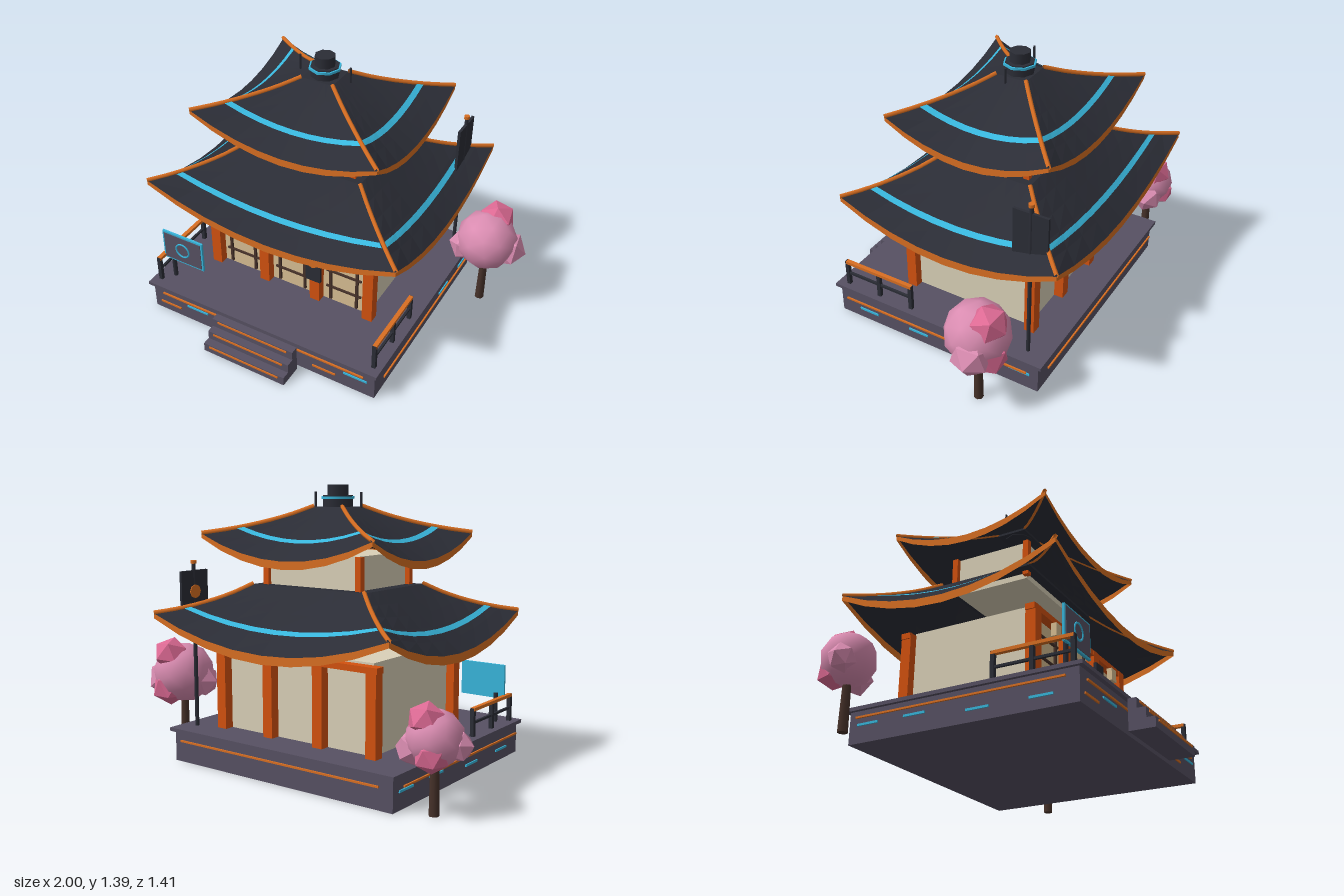
import * as THREE from 'three';

const mat = (name, color, side = THREE.FrontSide) => {
  const m = new THREE.MeshStandardMaterial({ color, side });
  m.name = name;
  return m;
};

export function createModel() {
  const roofDark = mat('charcoal', 0x2b2d36, THREE.DoubleSide);
  const stone = mat('stone', 0x575163);
  const cyan = mat('cyan', 0x38b6dc, THREE.DoubleSide);
  const trim = mat('trimOrange', 0xd96f22, THREE.DoubleSide);
  const post = mat('postOrange', 0xd4520f);
  const cream = mat('cream', 0xdad1b8);
  const tan = mat('tanPaper', 0xd9bf94);
  const wood = mat('darkWood', 0x47322a);
  const pink = mat('blossomPink', 0xdb8db2);
  const deepPink = mat('deepPink', 0xdd6a94);

  const root = new THREE.Group();
  root.name = 'pagoda';
  const group = (name, x = 0, y = 0, z = 0) => {
    const g = new THREE.Group();
    g.name = name;
    g.position.set(x, y, z);
    root.add(g);
    return g;
  };
  const add = (parent, name, geo, material, x = 0, y = 0, z = 0) => {
    const m = new THREE.Mesh(geo, material);
    m.name = name;
    m.position.set(x, y, z);
    parent.add(m);
    return m;
  };
  const box = (p, name, m, w, h, d, x, y, z) => add(p, name, new THREE.BoxGeometry(w, h, d), m, x, y, z);
  const rod = (p, name, m, r, y0, y1, x, z, n = 8) =>
    add(p, name, new THREE.CylinderGeometry(r, r, y1 - y0, n), m, x, (y0 + y1) / 2, z);

  // Faceted sheet through fn(u, v), u and v from 0 to 1
  const sheet = (fn, nu, nv) => {
    const pos = [], idx = [];
    for (let j = 0; j <= nv; j++) for (let i = 0; i <= nu; i++) pos.push(...fn(i / nu, j / nv));
    for (let j = 0; j < nv; j++) for (let i = 0; i < nu; i++) {
      const a = j * (nu + 1) + i, b = a + 1, c = a + nu + 1, d = c + 1;
      idx.push(a, b, d, a, d, c);
    }
    const g = new THREE.BufferGeometry();
    g.setAttribute('position', new THREE.Float32BufferAttribute(pos, 3));
    g.setIndex(idx);
    const flat = g.toNonIndexed();
    flat.computeVertexNormals();
    return flat;
  };

  // Stone platform, glowing strips and steps
  const base = group('platform', -0.03, 0, -0.03);
  box(base, 'platformBody', stone, 1.32, 0.155, 1.16, 0, 0.0775, 0);
  box(base, 'platformSlab', stone, 1.355, 0.018, 1.204, 0, 0.163, 0);
  for (const s of [-1, 1]) {
    box(base, 'sideStripe', trim, 0.008, 0.009, 1.055, s * 0.684, 0.114, 0);
    box(base, 'endStripe', trim, 1.2, 0.009, 0.008, 0, 0.114, s > 0 ? 0.585 : -0.602);
    for (const [z, y] of [[0.405, 0.057], [0.1, 0.057], [-0.225, 0.087], [-0.478, 0.087]])
      box(base, 'sideDash', cyan, 0.008, 0.011, 0.113, s * 0.662, y, z);
  }
  for (const x of [-0.555, 0.38]) box(base, 'frontOrangeDash', trim, 0.13, 0.01, 0.008, x, 0.05, 0.582);
  for (const x of [-0.38, 0.555]) box(base, 'frontCyanDash', cyan, 0.13, 0.01, 0.008, x, 0.09, 0.582);
  for (let i = 0; i < 3; i++) {
    const depth = 0.127 - i * 0.0425, h = 0.05 * (i + 1);
    box(base, 'step', stone, 0.476, h, depth, 0, h / 2, 0.603 + depth / 2);
    box(base, 'stepStripe', trim, 0.41, 0.01, 0.006, 0, h - 0.011, 0.603 + depth + 0.002);
  }

  const house = group('house', -0.03, 0, -0.118);

  // Ground floor: walls, posts, lintels
  box(house, 'lowerWalls', cream, 0.88, 0.43, 0.64, 0, 0.387, 0);
  for (const s of [-1, 1]) {
    for (const x of [-0.456, -0.152, 0.152, 0.456])
      box(house, 'lowerPost', post, 0.056, 0.42, 0.053, x, 0.382, s * 0.342);
    box(house, 'lintel', post, 0.98, 0.03, 0.05, 0, 0.577, s * 0.342);
  }

  // Paper screens with lattice
  for (const cx of [-0.304, 0, 0.304]) {
    box(house, 'paperScreen', tan, 0.24, 0.375, 0.008, cx, 0.365, 0.324);
    for (const dx of [-0.075, 0.075]) box(house, 'latticeUpright', wood, 0.014, 0.36, 0.012, cx + dx, 0.37, 0.333);
    for (const y of [0.27, 0.375, 0.48]) box(house, 'latticeBar', wood, 0.2, 0.01, 0.01, cx, y, 0.333);
  }
  for (const s of [-1, 1]) box(house, 'paperLantern', tan, 0.053, 0.065, 0.028, s * 0.305, 0.517, 0.38);
  box(house, 'hangingBoard', roofDark, 0.083, 0.205, 0.016, 0.153, 0.417, 0.378);
  add(house, 'boardDisc', new THREE.CylinderGeometry(0.025, 0.025, 0.006, 8), trim, 0.153, 0.43, 0.389).rotation.x = Math.PI / 2;

  // Upper floor
  box(house, 'upperWalls', cream, 0.54, 0.2, 0.4, 0, 0.96, 0);
  box(house, 'upperScreen', tan, 0.4, 0.1, 0.008, 0, 0.955, 0.202);
  for (const sx of [-1, 1]) for (const sz of [-1, 1])
    box(house, 'upperPost', post, 0.031, 0.19, 0.03, sx * 0.279, 0.965, sz * 0.206);

  // Hipped roof: eaves sag in the middle and rise to the corners
  const hipRoof = (name, { hx, hz, tx, tz, eave, top, lift, band, fascia }) => {
    const roof = new THREE.Group();
    roof.name = name;
    house.add(roof);
    const point = (side, t, s, dy = 0) => {
      const x = THREE.MathUtils.lerp(hx, tx, s), z = THREE.MathUtils.lerp(hz, tz, s);
      const y = eave + (top - eave) * s + lift * t * t * Math.pow(1 - s, 1.6) + dy;
      return [[t * x, y, z], [x, y, -t * z], [-t * x, y, -z], [-x, y, t * z]][side];
    };
    for (let k = 0; k < 4; k++) {
      add(roof, 'roofSlope', sheet((u, v) => point(k, 2 * u - 1, v), 8, 5), roofDark);
      add(roof, 'eaveBand', sheet((u, v) => {
        const t = 2 * u - 1;
        return point(k, t, 0, (v - 1) * (fascia - 0.017 * t * t));
      }, 8, 1), trim);
      const w = 0.011 / (hz - tz);
      add(roof, 'cyanBand', sheet((u, v) => point(k, (2 * u - 1) * 0.97, band + (2 * v - 1) * w, 0.007), 8, 1), cyan);
      const hip = [0, 0.2, 0.4, 0.6, 0.8, 1].map(s => new THREE.Vector3(...point(k, 1, s, 0.004)));
      add(roof, 'hipRidge', new THREE.TubeGeometry(new THREE.CatmullRomCurve3(hip), 10, 0.011, 5), trim);
    }
    box(roof, 'roofCap', roofDark, tx * 2, 0.012, tz * 2, 0, top - 0.006, 0);
  };
  hipRoof('lowerRoof', { hx: 0.695, hz: 0.582, tx: 0.335, tz: 0.25, eave: 0.627, top: 0.9, lift: 0.133, band: 0.31, fascia: 0.042 });
  hipRoof('upperRoof', { hx: 0.507, hz: 0.43, tx: 0.085, tz: 0.08, eave: 1.04, top: 1.28, lift: 0.11, band: 0.325, fascia: 0.038 });

  // Finial
  rod(house, 'finialBase', roofDark, 0.073, 1.265, 1.335, 0, 0);
  rod(house, 'finialRing', cyan, 0.082, 1.318, 1.33, 0, 0);
  rod(house, 'finialTop', roofDark, 0.052, 1.33, 1.387, 0, 0);
  for (const s of [-1, 1]) rod(house, 'roofAntenna', roofDark, 0.006, 1.275, 1.352, s * 0.139, 0);

  // Side railings
  for (const s of [-1, 1]) {
    const rail = group(s > 0 ? 'leftRailing' : 'rightRailing', -0.03 + s * 0.635, 0, 0.318);
    for (const z of [-0.192, 0, 0.195]) box(rail, 'railPost', roofDark, 0.02, 0.145, 0.02, 0, 0.242, z);
    box(rail, 'topRail', trim, 0.022, 0.016, 0.4, 0, 0.307, 0);
    box(rail, 'midRail', roofDark, 0.012, 0.012, 0.39, 0, 0.24, 0);
  }

  // Standing sign
  const sign = group('sign', -0.537, 0.383, 0.464);
  box(sign, 'signBack', cyan, 0.248, 0.176, 0.012, 0, 0, 0);
  box(sign, 'signFace', stone, 0.228, 0.156, 0.008, 0, 0, 0.005);
  add(sign, 'signRing', new THREE.TorusGeometry(0.04, 0.005, 6, 16), cyan, 0, 0, 0.01);
  rod(sign, 'signPost', roofDark, 0.012, -0.211, -0.06, -0.08, -0.012);

  // Banner pole
  const banner = group('bannerPole', 0.567, 0, -0.52);
  rod(banner, 'pole', roofDark, 0.01, 0.172, 1, 0, 0);
  rod(banner, 'poleCap', trim, 0.015, 0.998, 1.014, 0, 0);
  box(banner, 'bannerCloth', roofDark, 0.014, 0.26, 0.178, 0, 0.835, 0);
  add(banner, 'bannerDisc', new THREE.CylinderGeometry(0.035, 0.035, 0.006, 8), trim, -0.009, 0.86, 0).rotation.z = Math.PI / 2;

  // Blossom trees; each blob is x, y, z, radius, material
  const tree = (name, x, z, trunkTop, blobs) => {
    const g = group(name, x, 0, z);
    add(g, 'trunk', new THREE.CylinderGeometry(0.019, 0.024, trunkTop, 7), wood, 0, trunkTop / 2, 0);
    blobs.forEach(([bx, by, bz, r, m], i) => {
      add(g, 'blossom', new THREE.IcosahedronGeometry(r, r > 0.12 ? 1 : 0), m, bx, by, bz).rotation.set(i * 0.7, i * 1.1 + 0.3, 0.2);
    });
  };
  tree('leftTree', 0.795, -0.385, 0.32, [
    [0, 0.4, 0, 0.16, pink], [0.02, 0.5, -0.07, 0.095, deepPink],
    [0.105, 0.36, -0.03, 0.1, pink], [-0.095, 0.36, 0.04, 0.09, pink], [0.03, 0.33, -0.07, 0.1, deepPink]]);
  tree('rightTree', -0.84, -0.52, 0.26, [
    [0, 0.34, 0, 0.13, pink], [0.02, 0.42, -0.04, 0.085, deepPink],
    [-0.09, 0.31, 0.04, 0.07, pink], [0.085, 0.29, -0.03, 0.085, pink], [-0.02, 0.28, -0.06, 0.08, deepPink]]);

  return root;
}
